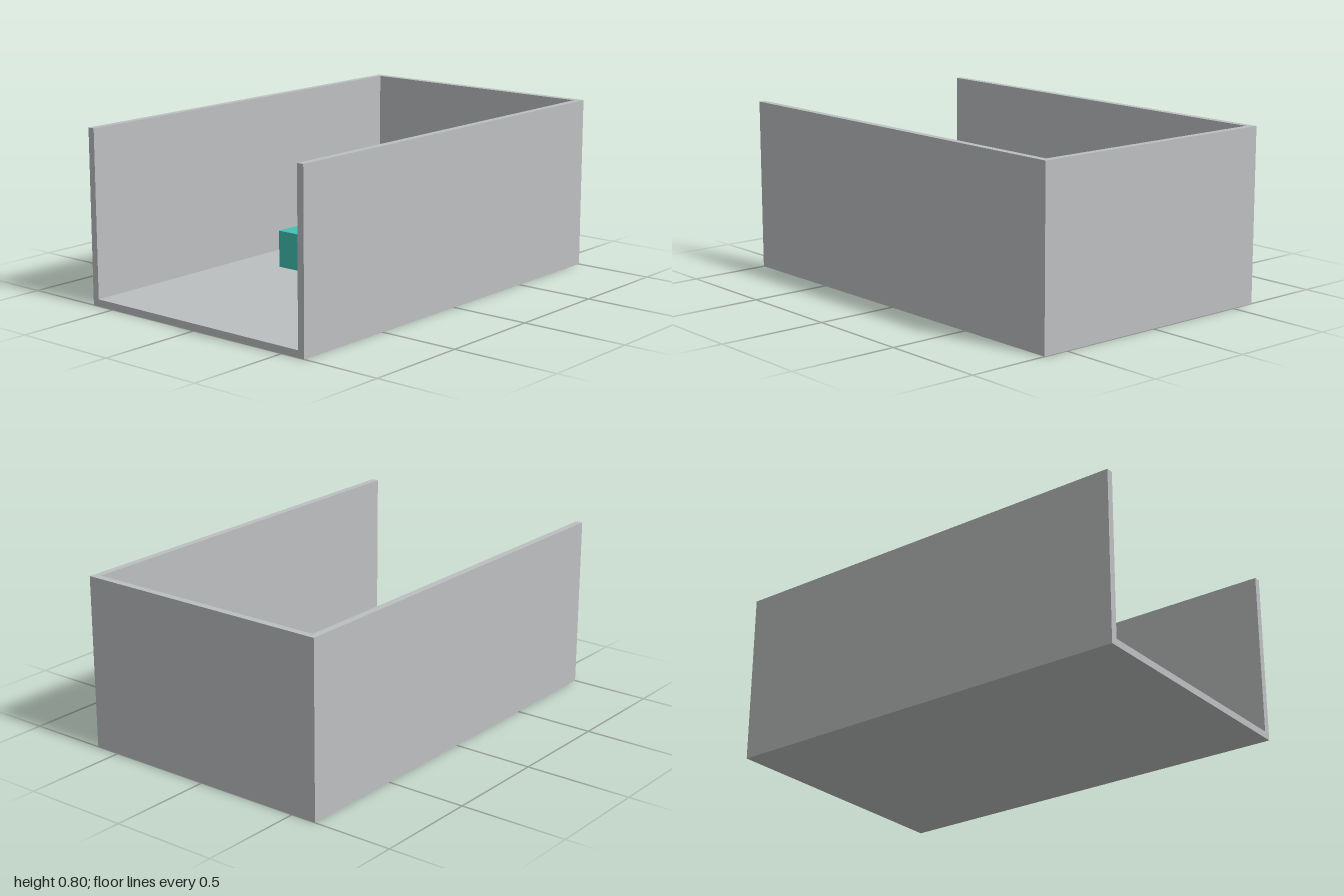
import * as THREE from 'three';

export function createModel() {
  const model = new THREE.Group();
  model.name = 'room';
  const grey = new THREE.MeshStandardMaterial({ color: 0xbcbfc0 });
  grey.name = 'grey';
  const teal = new THREE.MeshStandardMaterial({ color: 0x40c1b3 });
  teal.name = 'teal';

  // Box from its lower and upper corners
  function box(name, material, [x0, y0, z0], [x1, y1, z1], parent = model) {
    const mesh = new THREE.Mesh(new THREE.BoxGeometry(x1 - x0, y1 - y0, z1 - z0), material);
    mesh.position.set((x0 + x1) / 2, (y0 + y1) / 2, (z0 + z1) / 2);
    mesh.name = name;
    parent.add(mesh);
  }

  // Room shell: open at the front and the top
  const W = 0.622, H = 0.8, T = 0.033, F = 0.032;
  box('floor', grey, [-W + T, 0, -1 + T], [W - T, F, 1]);
  box('rightWall', grey, [-W, 0, -1], [-W + T, H, 1]);
  box('leftWall', grey, [W - T, 0, -1], [W, H, 1]);
  box('backWall', grey, [-W + T, 0, -1], [W - T, H, -1 + T]);

  // Table
  const table = new THREE.Group();
  table.name = 'table';
  model.add(table);
  box('tableTop', grey, [-0.206, 0.19, -0.119], [0.203, 0.209, 0.111], table);
  for (const x of [-0.139, 0.135]) {
    for (const z of [-0.098, 0.09]) {
      box('tableLeg', grey, [x - 0.009, F, z - 0.009], [x + 0.009, 0.19, z + 0.009], table);
    }
  }

  // Block stools at both ends of the table
  for (const x of [-0.302, 0.299]) {
    box('stool', teal, [x - 0.062, F, -0.065], [x + 0.062, 0.207, 0.06]);
  }
  return model;
}
